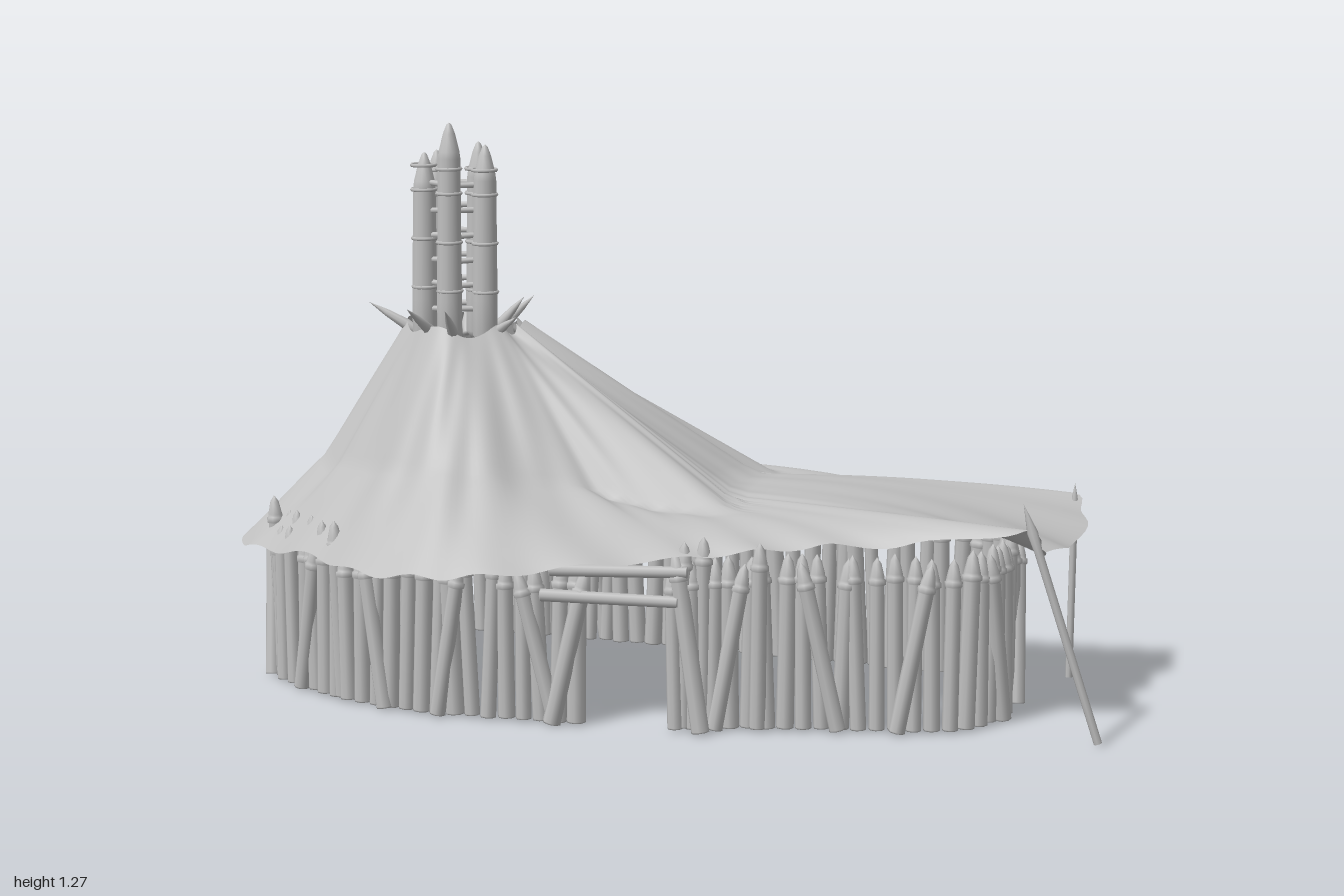
import * as THREE from 'three';

const V = (x, y, z) => new THREE.Vector3(x, y, z);
const UP = V(0, 1, 0);

export function createModel() {
  const model = new THREE.Group();
  model.name = 'palisadeHut';
  const grey = new THREE.MeshStandardMaterial({ color: 0xc0c0c0, side: THREE.DoubleSide });
  grey.name = 'weatheredGrey';

  let seed = 7;
  const rnd = () => {
    seed = (seed * 16807) % 2147483647;
    return seed / 2147483647;
  };
  const vary = (a) => (rnd() * 2 - 1) * a;

  const group = (name) => {
    const g = new THREE.Group();
    g.name = name;
    model.add(g);
    return g;
  };
  // Turned shape from [radius, height] pairs, stood along the line a-b
  const turned = (parent, name, a, b, profile, sides = 8) => {
    const mesh = new THREE.Mesh(
      new THREE.LatheGeometry(profile.map(([r, y]) => new THREE.Vector2(r, y)), sides), grey);
    mesh.name = name;
    mesh.position.copy(a);
    mesh.quaternion.setFromUnitVectors(UP, b.clone().sub(a).normalize());
    parent.add(mesh);
  };
  // Log with a sharpened top and a thin rope band below it
  const stake = (parent, name, a, b, r) => {
    const h = a.distanceTo(b);
    const t = h - r * 2.4;
    turned(parent, name, a, b, [
      [0, 0], [r, 0], [r, 0.003], [r * 0.95, t - 0.02], [r * 1.12, t - 0.018], [r * 1.12, t - 0.008],
      [r * 0.93, t - 0.006], [r * 0.92, t], [r * 0.55, h - r * 0.8], [0, h]]);
  };
  const beam = (parent, name, a, b, r) => {
    const h = a.distanceTo(b);
    turned(parent, name, a, b, [[0, 0], [r, 0], [r, 0.002], [r * 0.9, h - 0.002], [r * 0.9, h], [0, h]]);
  };

  // Cloth roof: each row is edge x, z, y, then where its slope bends and how high
  const rows = [
    [-1, .02, .30, .5, .5], [-.94, -.15, .31, .5, .5], [-.88, -.24, .32, .5, .49],
    [-.84, -.34, .31, .5, .49], [-.78, -.43, .29, .5, .48], [-.65, -.49, .26, .5, .48],
    [-.5, -.46, .32, .5, .49], [-.3, -.42, .34, .5, .5], [-.1, -.39, .36, .5, .52],
    [.09, -.37, .39, .55, .53], [.2, -.33, .41, .7, .48], [.5, -.28, .42, .66, .46],
    [.75, -.25, .42, .48, .465], [.9, -.235, .425, .42, .47],
    [.915, -.1, .365, .42, .48], [.865, .1, .37, .43, .48], [.85, .25, .41, .44, .475],
    [.845, .32, .46, .44, .47],
    [.6, .31, .42, .56, .46], [.4, .32, .41, .68, .45], [.25, .36, .4, .6, .45],
    [.1, .39, .385, .5, .49], [-.1, .44, .37, .5, .5], [-.3, .485, .35, .5, .53],
    [-.45, .48, .34, .5, .54], [-.6, .42, .33, .5, .52], [-.75, .28, .33, .5, .51],
    [-.9, .15, .31, .5, .5]];
  const edge = new THREE.CatmullRomCurve3(rows.map((r) => V(r[0], r[2], r[1])), true);
  const bend = new THREE.CatmullRomCurve3(rows.map((r) => V(r[3], r[4], 0)), true);
  const centre = V(-0.485, 0.8, -0.06);
  const around = 252, out = 28, pos = [], index = [];
  for (let i = 0; i < around; i++) {
    const u = i / around, turn = u * Math.PI * 2;
    const e = edge.getPoint(u), k = bend.getPoint(u);
    const d = V(e.x - centre.x, 0, e.z - centre.z).normalize();
    const ring = 1 + 0.07 * Math.sin(turn * 5);
    const top = V(centre.x + d.x * 0.13 * ring, 0.805 + 0.012 * Math.sin(turn * 7), centre.z + d.z * 0.12 * ring);
    const canopy = THREE.MathUtils.smoothstep(e.x, 0, 0.5);
    for (let j = 0; j <= out; j++) {
      const t = j / out;
      let y = t < k.x
        ? THREE.MathUtils.lerp(top.y, k.y, t / k.x)
        : THREE.MathUtils.lerp(k.y, e.y, Math.pow((t - k.x) / (1 - k.x), 1 + 1.6 * canopy));
      // Folds running down the cloth, calmer on the canopy, and a wavy hem
      y += (1 - 0.75 * canopy) * Math.sin(Math.PI * t) *
        (0.004 * Math.sin(turn * 21 + t * 3) + 0.003 * Math.sin(turn * 34 - t * 5));
      y += t ** 6 * 0.006 * Math.sin(turn * 27);
      const w = t + t ** 8 * 0.008 * Math.sin(turn * 31);
      pos.push(top.x + (e.x - top.x) * w, y, top.z + (e.z - top.z) * w);
      if (j < out) {
        const a = i * (out + 1) + j, b = ((i + 1) % around) * (out + 1) + j;
        index.push(a, b, a + 1, b, b + 1, a + 1);
      }
    }
  }
  const cloth = new THREE.BufferGeometry();
  cloth.setAttribute('position', new THREE.Float32BufferAttribute(pos, 3));
  cloth.setIndex(index);
  cloth.computeVertexNormals();
  const roof = new THREE.Mesh(cloth, grey);
  roof.name = 'clothRoof';
  model.add(roof);

  // Palisade wall, open at the doorway in front
  const wall = group('palisadeWall');
  const plan = [[.09, .37], [.3, .32], [.55, .29], [.68, .265], [.745, .18], [.77, .05], [.76, -.09], [.72, -.18],
    [.62, -.22], [.4, -.26], [.1, -.32], [-.3, -.375], [-.6, -.41], [-.74, -.4], [-.81, -.32], [-.86, -.12],
    [-.9, .03], [-.88, .11], [-.78, .2], [-.62, .3], [-.46, .345], [-.3, .36], [-.13, .365]];
  const path = new THREE.CatmullRomCurve3(plan.map(([x, z]) => V(x, 0, z)));
  const count = 100;
  for (let i = 0; i <= count; i++) {
    const p = path.getPointAt(i / count), tan = path.getTangentAt(i / count);
    const outward = V(-tan.z, 0, tan.x);
    const h = 0.375 + 0.02 * p.x + vary(0.012);
    const foot = p.clone().addScaledVector(outward, vary(0.006)).setY(0.008);
    const head = p.clone().addScaledVector(tan, vary(0.018)).setY(h);
    stake(wall, 'wallPost', foot, head, 0.019 + vary(0.003));
    // A leaning post across the outer face every so often
    if (i % 5 === 3) {
      const lean = (i % 10 === 3 ? 1 : -1) * 0.035;
      stake(wall, 'leaningPost',
        foot.clone().addScaledVector(outward, 0.018).addScaledVector(tan, -lean),
        head.clone().addScaledVector(outward, 0.014).addScaledVector(tan, lean).setY(h - 0.015), 0.018);
    }
  }

  // Sharpened tips that pierce the cloth
  const tips = group('piercingPosts');
  [[-.9, .08, .42], [-.86, .09, .39], [-.83, .13, .4], [-.78, .18, .4], [-.74, .23, .4], [-.7, .27, .41],
    [-.83, -.2, .42], [-.84, -.16, .4], [-.66, -.39, .42], [-.55, -.4, .42], [-.46, -.41, .42], [-.38, -.4, .43],
    [.11, .37, .42], [.15, .36, .43], [.27, .35, .42]].forEach(([x, z, h]) =>
    stake(tips, 'piercingPost', V(x * 0.98, 0.01, z * 0.98), V(x, h, z), 0.018));

  // Doorway
  const door = group('doorway');
  beam(door, 'lowerLintel', V(-.2, .295, .4), V(.1, .29, .39), 0.014);
  beam(door, 'upperLintel', V(-.18, .35, .395), V(.12, .355, .385), 0.014);
  stake(door, 'doorPost', V(-.18, .008, .385), V(-.1, .36, .38), 0.02);
  stake(door, 'doorPost', V(.15, .008, .395), V(.09, .4, .375), 0.02);

  // Chimney tower of tall banded logs: x, z, top
  const tower = group('chimneyTower');
  const logs = [[-.555, -.078, 1.2], [-.458, -.08, 1.22], [-.425, -.013, 1.22], [-.5, .015, 1.27], [-.567, -.018, 1.2]];
  logs.forEach(([x, z, h], i) => {
    turned(tower, 'towerLog', V(x, 0.77, z), V(x + 0.004, h, z), [[0, 0], [.018, .004], [.028, .02], [.029, .1],
      [.026, h - .85], [.024, h - .835], [.014, h - .795], [.006, h - .775], [0, h - .77]], 12);
    for (const y of [0.88, 0.99, 1.1, 1.155]) {
      const band = new THREE.Mesh(new THREE.TorusGeometry(0.0275, 0.004, 5, 14), grey);
      band.name = 'ropeBand';
      band.rotation.x = Math.PI / 2;
      band.position.set(x + 0.002, y + i * 0.004, z);
      tower.add(band);
    }
    // Rungs joining neighbouring logs
    const [nx, nz] = logs[(i + 1) % logs.length];
    for (let y = 0.85; y < 1.16; y += 0.056) {
      const a = V(x, y, z), b = V(nx, y + vary(0.006), nz);
      const over = b.clone().sub(a).multiplyScalar(0.12);
      beam(tower, 'rung', a.sub(over), b.add(over), 0.007);
    }
  });

  // Spikes fanning out around the smoke hole
  const spikes = group('smokeHoleSpikes');
  [[-.71, -.06, .85], [-.59, -.205, .85], [-.51, -.19, .84], [-.35, -.175, .86], [-.34, .04, .84],
    [-.475, .145, .865], [-.575, .1, .86], [-.35, -.08, .87]].forEach(([x, z, y]) => {
    const tip = V(x, y, z);
    const root = centre.clone().lerp(tip, 0.4).setY(0.775);
    const h = root.distanceTo(tip);
    turned(spikes, 'spike', root, tip, [[0, 0], [.009, .002], [.013, h * .35], [.008, h * .7], [0, h]]);
  });

  // Canopy poles
  const poles = group('canopyPoles');
  const pole = (a, b, r) => {
    const h = a.distanceTo(b);
    turned(poles, 'canopyPole', a, b, [[0, 0], [r, 0], [r, h * .8], [r * 1.3, h * .88], [0, h]]);
  };
  pole(V(.992, .008, .315), V(.825, .52, .315), 0.009);
  pole(V(.885, .008, -.23), V(.89, .46, -.23), 0.008);

  return model;
}
